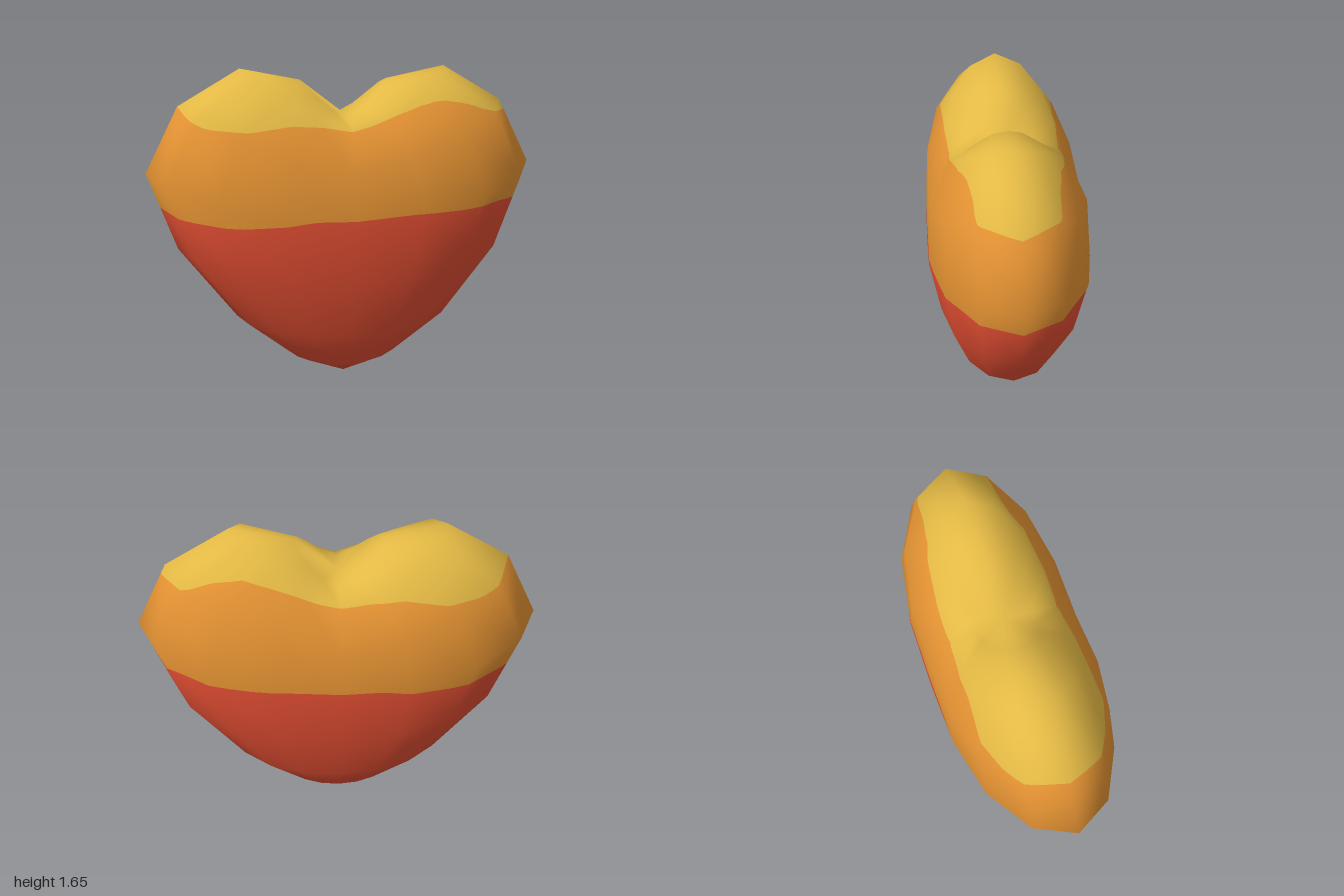
import * as THREE from 'three';
import { mergeVertices } from 'three/addons/utils/BufferGeometryUtils.js';

// Rows from top to bottom: height at the middle, extra height at the sides, half width, half depth
const ROWS = [
  [1.42, 0, 0, 0], [1.41, 0.18, 0.22, 0.14], [1.36, 0.29, 0.52, 0.27], [1.17, 0.30, 0.83, 0.38],
  [0.89, 0.25, 1.0, 0.40], [0.59, 0.15, 0.86, 0.35], [0.29, 0.065, 0.57, 0.26],
  [0.09, 0.04, 0.29, 0.135], [0, 0, 0, 0],
];
// Rounded ring section, from the front middle round to the side
const RING_X = [0, 0.34, 0.66, 0.9, 1];
const RING_Z = [1, 0.985, 0.825, 0.475, 0];

// Wavy colour borders as [x, y] points
const LOWER = [[-1, 0.975], [-0.8, 0.935], [-0.55, 0.92], [-0.35, 0.935], [-0.2, 0.953], [0, 0.948],
  [0.3, 0.97], [0.55, 0.97], [0.75, 0.985], [1, 0.987]];
const UPPER = [[-0.84, 1.48], [-0.78, 1.42], [-0.7, 1.387], [-0.5, 1.375], [-0.3, 1.4], [-0.15, 1.39], [0, 1.362],
  [0.1, 1.39], [0.2, 1.43], [0.35, 1.48], [0.45, 1.5], [0.6, 1.475], [0.7, 1.44], [0.83, 1.42], [1, 1.42]];

function heightAt(border, x) {
  if (x <= border[0][0]) return border[0][1];
  for (let i = 1; i < border.length; i++) {
    const [x0, y0] = border[i - 1], [x1, y1] = border[i];
    if (x <= x1) return y0 + (y1 - y0) * (x - x0) / (x1 - x0);
  }
  return border[border.length - 1][1];
}

// A 16 by 8 sphere reshaped into a heart with smooth normals
function heartSurface() {
  const sphere = new THREE.SphereGeometry(1, 16, 8);
  const p = sphere.attributes.position;
  for (let i = 0; i < p.count; i++) {
    const col = i % 17, [y, lift, w, d] = ROWS[Math.floor(i / 17)];
    const k = Math.abs(4 - col % 8);
    const sx = col < 4 || col > 12 ? -1 : 1, sz = col <= 8 ? 1 : -1;
    p.setXYZ(i, sx * w * RING_X[k], y + lift * RING_X[k] ** 1.4, sz * d * RING_Z[k]);
  }
  sphere.deleteAttribute('uv');
  sphere.deleteAttribute('normal');
  const merged = mergeVertices(sphere);
  merged.computeVertexNormals();
  return merged.toNonIndexed();
}

const mix = (a, b, t) => a.map((v, i) => v + (b[i] - v) * t);

// Split each facet into small flat triangles so the borders can curve
function smallTriangles(geometry, n) {
  const p = geometry.attributes.position, q = geometry.attributes.normal, out = [];
  const vertex = i => [p.getX(i), p.getY(i), p.getZ(i), q.getX(i), q.getY(i), q.getZ(i)];
  for (let f = 0; f < p.count; f += 3) {
    const [a, b, c] = [vertex(f), vertex(f + 1), vertex(f + 2)];
    const at = (i, j) => a.map((v, k) => v + (b[k] - v) * i / n + (c[k] - v) * j / n);
    for (let i = 0; i < n; i++) for (let j = 0; j < n - i; j++) {
      out.push([at(i, j), at(i + 1, j), at(i, j + 1)]);
      if (i + j < n - 1) out.push([at(i + 1, j), at(i + 1, j + 1), at(i, j + 1)]);
    }
  }
  return out;
}

// Keep the part of a polygon on one side of a border (side 1 = above, -1 = below)
function clip(poly, border, side) {
  const out = [], dist = v => side * (v[1] - heightAt(border, v[0]));
  poly.forEach((a, i) => {
    const b = poly[(i + 1) % poly.length], da = dist(a), db = dist(b);
    if (da >= 0) out.push(a);
    if ((da >= 0) !== (db >= 0)) out.push(mix(a, b, da / (da - db)));
  });
  return out;
}

function band(name, color, polygons) {
  const pos = [], nor = [];
  for (const poly of polygons) for (let i = 2; i < poly.length; i++)
    for (const v of [poly[0], poly[i - 1], poly[i]]) {
      pos.push(...v.slice(0, 3));
      nor.push(...v.slice(3));
    }
  const g = new THREE.BufferGeometry();
  g.setAttribute('position', new THREE.Float32BufferAttribute(pos, 3));
  g.setAttribute('normal', new THREE.Float32BufferAttribute(nor, 3));
  g.normalizeNormals();
  const material = new THREE.MeshStandardMaterial({ color });
  material.name = name.replace(/Band$/, '');
  const mesh = new THREE.Mesh(g, material);
  mesh.name = name;
  return mesh;
}

export function createModel() {
  const heart = new THREE.Group();
  heart.name = 'heart';
  const tris = smallTriangles(heartSurface(), 6);
  const above = tris.map(t => clip(t, LOWER, 1));
  heart.add(
    band('redBand', 0xe04d32, tris.map(t => clip(t, LOWER, -1))),
    band('orangeBand', 0xe29132, above.map(t => clip(t, UPPER, -1))),
    band('yellowBand', 0xe2b844, above.map(t => clip(t, UPPER, 1))),
  );
  return heart;
}
